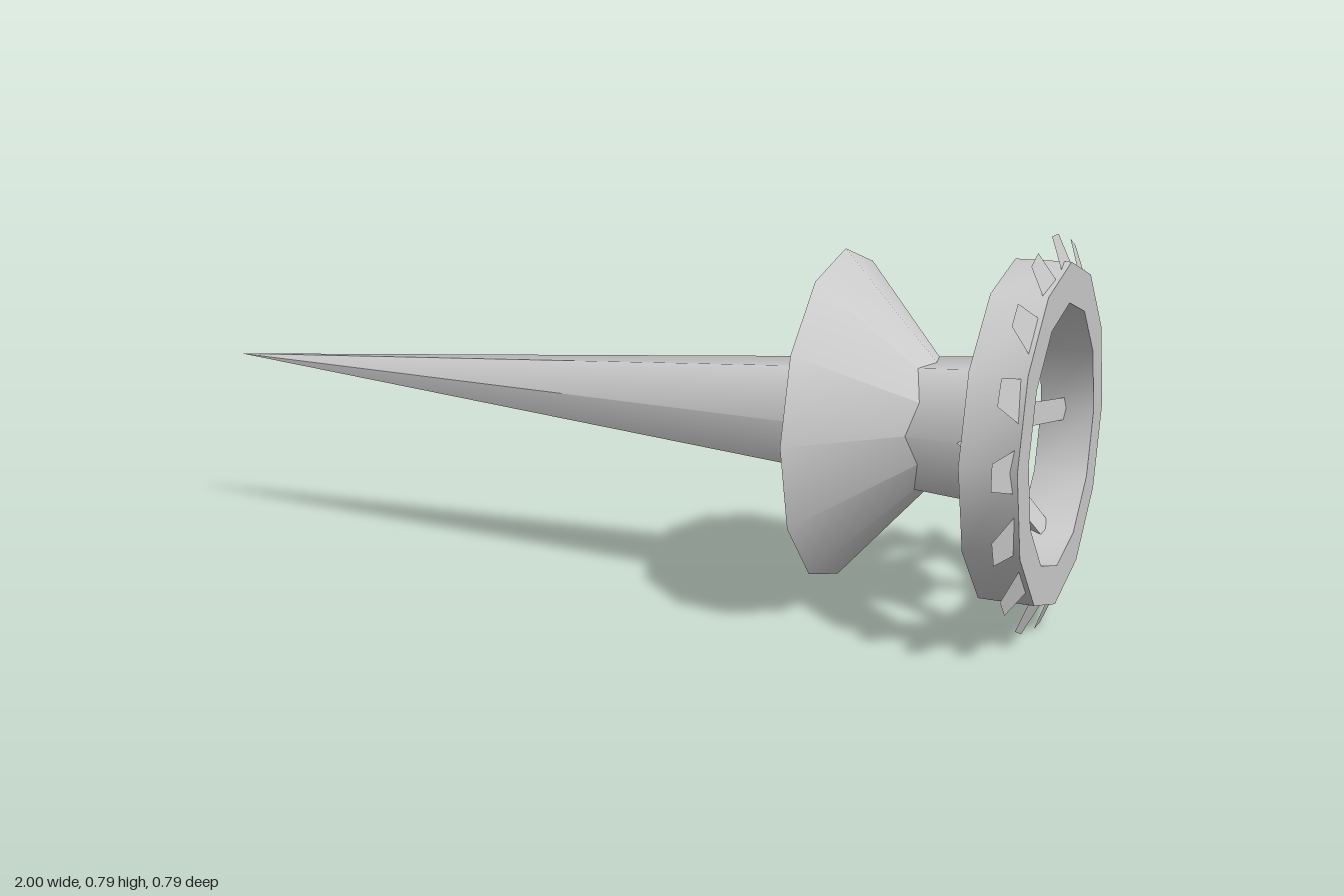
import * as THREE from 'three';
import { toCreasedNormals } from 'three/addons/utils/BufferGeometryUtils.js';

const AXIS_Y = 0.396;

export function createModel() {
  const root = new THREE.Group();
  const model = new THREE.Group();
  model.name = 'spike';
  model.position.y = AXIS_Y; // everything is built around the x axis
  root.add(model);

  const grey = new THREE.MeshStandardMaterial({ color: 0xcccccc });
  const thin = new THREE.MeshStandardMaterial({ color: 0xcccccc, side: THREE.DoubleSide });

  const add = (name, geometry, material = grey, parent = model) => {
    const mesh = new THREE.Mesh(geometry, material);
    mesh.name = name;
    parent.add(mesh);
    return mesh;
  };

  // Turned part along x, from x0 (radius r0) to x1 (radius r1)
  const turned = (x0, r0, x1, r1, sides) =>
    new THREE.CylinderGeometry(r1, r0, x1 - x0, sides)
      .rotateZ(-Math.PI / 2)
      .translate((x0 + x1) / 2, 0, 0);

  // Long six-sided spike, its conical guard and the eight-sided end cap
  add('blade', turned(-1, 0, 0.888, 0.157, 6));
  add('guard', turned(0.54, 0.345, 0.853, 0, 12));
  add('hubCap', turned(0.86, 0.156, 0.892, 0.156, 8));

  // Wheel rim with a rectangular section
  const section = [[0.265, 0.89], [0.345, 0.89], [0.345, 1], [0.265, 1], [0.265, 0.89]]
    .map(([r, x]) => new THREE.Vector2(r, x));
  const rim = new THREE.LatheGeometry(section, 12).rotateZ(-Math.PI / 2);
  add('rim', toCreasedNormals(rim, 0.7));

  // Three-sided spokes leaning forward from hub to rim, ridge towards the tip
  const start = new THREE.Vector2(0.1, 0.836); // radius, x
  const end = new THREE.Vector2(0.285, 0.938);
  const lean = Math.atan2(end.y - start.y, end.x - start.x);
  const spoke = toCreasedNormals(
    new THREE.CylinderGeometry(0.027, 0.031, start.distanceTo(end), 3)
      .rotateY(-Math.PI / 2)
      .rotateZ(-lean)
      .translate((start.y + end.y) / 2, (start.x + end.x) / 2, 0), 0.5);
  const spokes = new THREE.Group();
  spokes.name = 'spokes';
  model.add(spokes);
  for (let i = 0; i < 6; i++) {
    add('spoke', spoke, grey, spokes).rotation.x = Math.PI / 2 + (i * Math.PI) / 3;
  }

  // Thin tapered teeth around the rim, tips swept back
  const tooth = new THREE.BufferGeometry();
  tooth.setAttribute('position', new THREE.Float32BufferAttribute([
    0.992, 0.33, 0.042, 0.992, 0.33, -0.042, 0.966, 0.395, -0.026, 0.966, 0.395, 0.026,
  ], 3));
  tooth.setIndex([0, 1, 2, 0, 2, 3]);
  tooth.computeVertexNormals();
  const teeth = new THREE.Group();
  teeth.name = 'teeth';
  model.add(teeth);
  for (let i = 0; i < 16; i++) {
    add('tooth', tooth, thin, teeth).rotation.x = (i * Math.PI) / 8;
  }

  return root;
}
